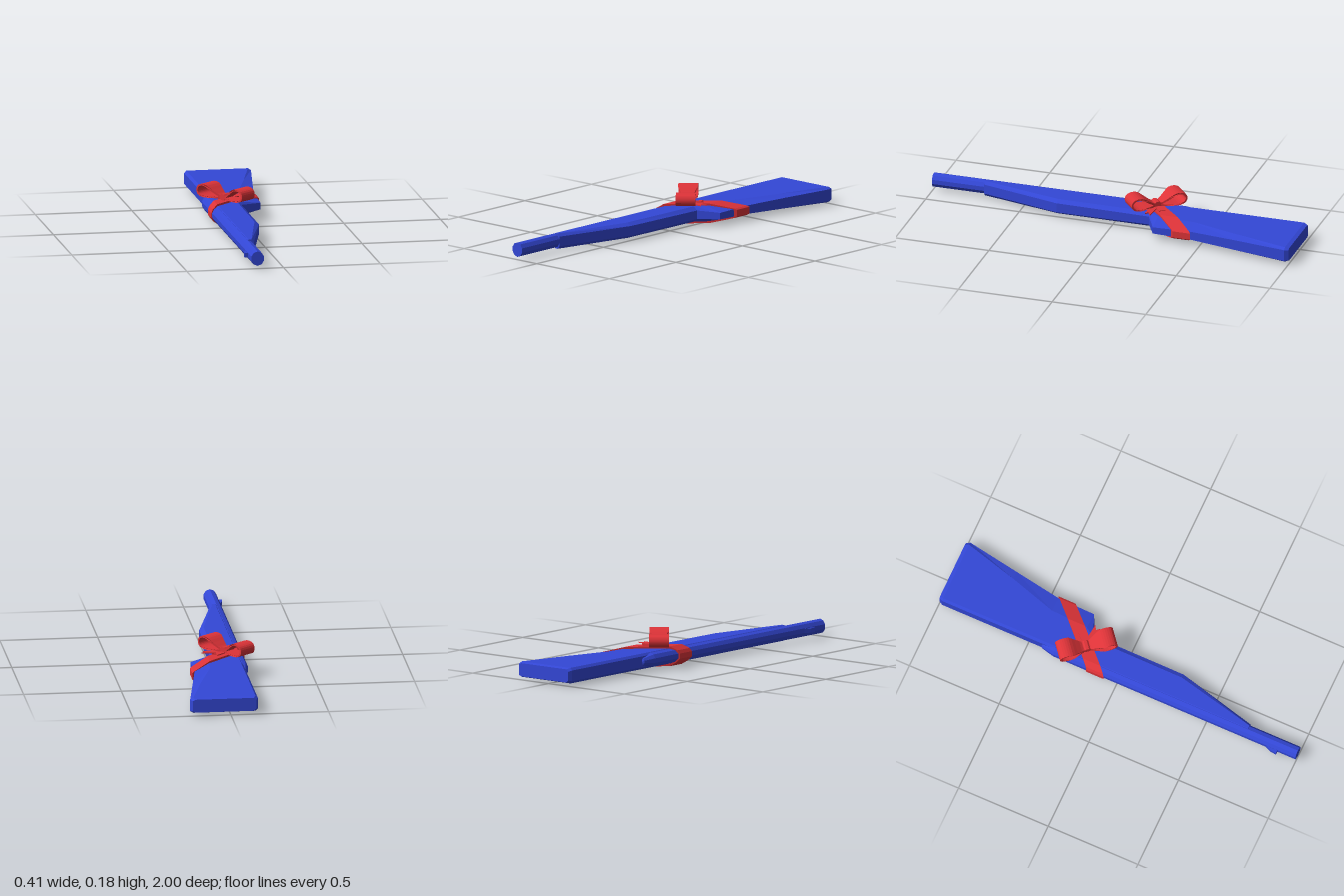
import * as THREE from 'three';

const BLUE = new THREE.MeshStandardMaterial({ color: 0x3347d6, flatShading: true });
const RED = new THREE.MeshStandardMaterial({ color: 0xdd3338, flatShading: true });
const MID = 0.054; // height of the centre line

function add(parent, name, geometry, material) {
  const mesh = new THREE.Mesh(geometry, material);
  mesh.name = name;
  parent.add(mesh);
  return mesh;
}

const vectors = (pts) => pts.map(([x, y]) => new THREE.Vector2(x, y));

// Joins equal-sized rings, each counter-clockwise from +z, in order of rising z
function loft(rings) {
  const n = rings[0].length, index = [];
  for (let i = 0; i < rings.length - 1; i++) {
    for (let j = 0; j < n; j++) {
      const a = i * n + j, b = i * n + (j + 1) % n;
      index.push(a, b, b + n, a, b + n, a + n);
    }
  }
  const last = (rings.length - 1) * n;
  for (let j = 1; j < n - 1; j++) {
    index.push(0, j + 1, j, last, last + j, last + j + 1);
  }
  const g = new THREE.BufferGeometry();
  g.setAttribute('position', new THREE.Float32BufferAttribute(rings.flat(2), 3));
  g.setIndex(index);
  g.computeVertexNormals();
  return g;
}

// Moves every vertex of a geometry by a rule
function warp(g, rule) {
  const p = g.attributes.position, v = new THREE.Vector3();
  for (let i = 0; i < p.count; i++) {
    v.fromBufferAttribute(p, i);
    rule(v);
    p.setXYZ(i, v.x, v.y, v.z);
  }
  g.computeVertexNormals();
  return g;
}

function hollowExtrude(outer, inner, depth) {
  const shape = new THREE.Shape(vectors(outer));
  shape.holes.push(new THREE.Path(vectors(inner)));
  return new THREE.ExtrudeGeometry(shape, { depth, bevelEnabled: false }).translate(0, 0, -depth / 2);
}

export function createModel() {
  const model = new THREE.Group();
  model.name = 'giftRifle';

  // Stock stations: z, left x, right x, x where the edge taper starts, half edge height, half height
  const stations = [
    [-1.0, -0.13, 0.195, 0.18, 0.027, 0.034],
    [-0.98, -0.14, 0.206, 0.19, 0.03, 0.04],
    [-0.7, -0.14, 0.16, 0.115, 0.027, 0.04],
    [-0.45, -0.14, 0.12, 0.04, 0.022, 0.04],
    [-0.25, -0.14, 0.117, 0.03, 0.017, 0.04],
    [-0.195, -0.14, 0.008, -0.015, 0.022, 0.04],
    [0.3, -0.14, 0.005, -0.018, 0.025, 0.04],
    [0.72, -0.14, -0.1, -0.113, 0.025, 0.04],
  ];
  const rings = stations.map(([z, xl, xr, xc, e, h]) => [
    [xr, -e], [xr, e], [xc, h], [xl + 0.012, h],
    [xl, h - 0.012], [xl, 0.012 - h], [xl + 0.012, -h], [xc, -h],
  ].map(([x, y]) => [x, MID + y, z]));
  add(model, 'stock', loft(rings), BLUE);

  // Barrel with a tapered rear end
  const barrel = new THREE.LatheGeometry(
    vectors([[0, -0.43], [0.018, -0.42], [0.034, -0.35], [0.034, 1], [0, 1]]), 10);
  barrel.rotateX(Math.PI / 2).scale(1, 1.1, 1).translate(-0.134, MID, 0);
  add(model, 'barrel', barrel, BLUE);

  // Front sight: a small wedge on the barrel
  const wedge = new THREE.Shape(vectors([[-0.155, -0.81], [-0.155, -0.9], [-0.183, -0.9], [-0.181, -0.87]]));
  const sight = new THREE.ExtrudeGeometry(wedge, { depth: 0.022, bevelEnabled: false });
  sight.rotateX(-Math.PI / 2).translate(0, MID - 0.013, 0);
  add(model, 'frontSight', sight, BLUE);

  // Ribbon band wrapped diagonally around the grip
  const band = hollowExtrude(
    [[-0.172, 0.04], [-0.16, 0.022], [-0.135, 0.002], [0.03, 0.002], [0.122, 0.028], [0.131, 0.036],
      [0.131, 0.07], [0.122, 0.077], [0.03, 0.104], [-0.135, 0.104], [-0.163, 0.083], [-0.172, 0.066]],
    [[-0.163, 0.042], [-0.152, 0.028], [-0.132, 0.012], [0.028, 0.012], [0.118, 0.037], [0.121, 0.04],
      [0.121, 0.066], [0.118, 0.068], [0.028, 0.094], [-0.132, 0.094], [-0.154, 0.078], [-0.163, 0.064]],
    0.095);
  warp(band, (v) => { v.z += -0.28 - 0.97 * (v.x + 0.0); });
  add(model, 'ribbonBand', band, RED);

  // Bow: two teardrop loops pinched towards the knot
  const bow = new THREE.Group();
  bow.name = 'bow';
  bow.position.set(-0.072, 0, -0.207);
  bow.rotation.y = -0.883;
  model.add(bow);
  const curve = (pts) => new THREE.CatmullRomCurve3(
    pts.map(([x, y]) => new THREE.Vector3(x, y, 0)), true).getPoints(28).slice(0, -1).map((p) => [p.x, p.y]);
  const outer = curve([[0, 0.112], [0.06, 0.111], [0.115, 0.111], [0.143, 0.122], [0.152, 0.145],
    [0.142, 0.168], [0.115, 0.178], [0.085, 0.174], [0.05, 0.15], [0.02, 0.13], [0, 0.126]]);
  const inner = curve([[0.025, 0.12], [0.065, 0.119], [0.114, 0.119], [0.136, 0.128], [0.143, 0.145],
    [0.135, 0.162], [0.113, 0.169], [0.09, 0.165], [0.058, 0.143], [0.03, 0.125]]);
  for (const side of [0, 1]) {
    const g = warp(hollowExtrude(outer, inner, 0.1), (v) => {
      v.z *= THREE.MathUtils.clamp(0.35 + v.x * 8, 0.35, 1);
    });
    add(bow, side ? 'rearLoop' : 'frontLoop', g, RED).rotation.y = side * Math.PI;
  }

  // Knot: a flattened octagonal wrap across the middle
  const knot = new THREE.CylinderGeometry(0.018, 0.018, 0.05, 8);
  knot.rotateX(Math.PI / 2).rotateZ(Math.PI / 8).scale(1.1, 0.95, 1).translate(0, 0.12, 0);
  add(bow, 'knot', knot, RED);

  // Short notched tails lying on the band
  const tails = [
    [[-0.08, 0.2], [-0.06, 0.185], [0.045, 0.185], [0.03, 0.2], [0.056, 0.215], [-0.05, 0.225]],
    [[-0.085, 0.21], [-0.06, 0.2], [0.005, 0.25], [-0.015, 0.25], [-0.02, 0.275]],
  ];
  tails.forEach((pts, i) => {
    const g = new THREE.ExtrudeGeometry(new THREE.Shape(vectors(pts)), { depth: 0.005, bevelEnabled: false });
    g.rotateX(-Math.PI / 2).translate(0, 0.1045 + i * 0.002, 0);
    add(model, 'ribbonTail' + (i + 1), g, RED);
  });

  return model;
}
